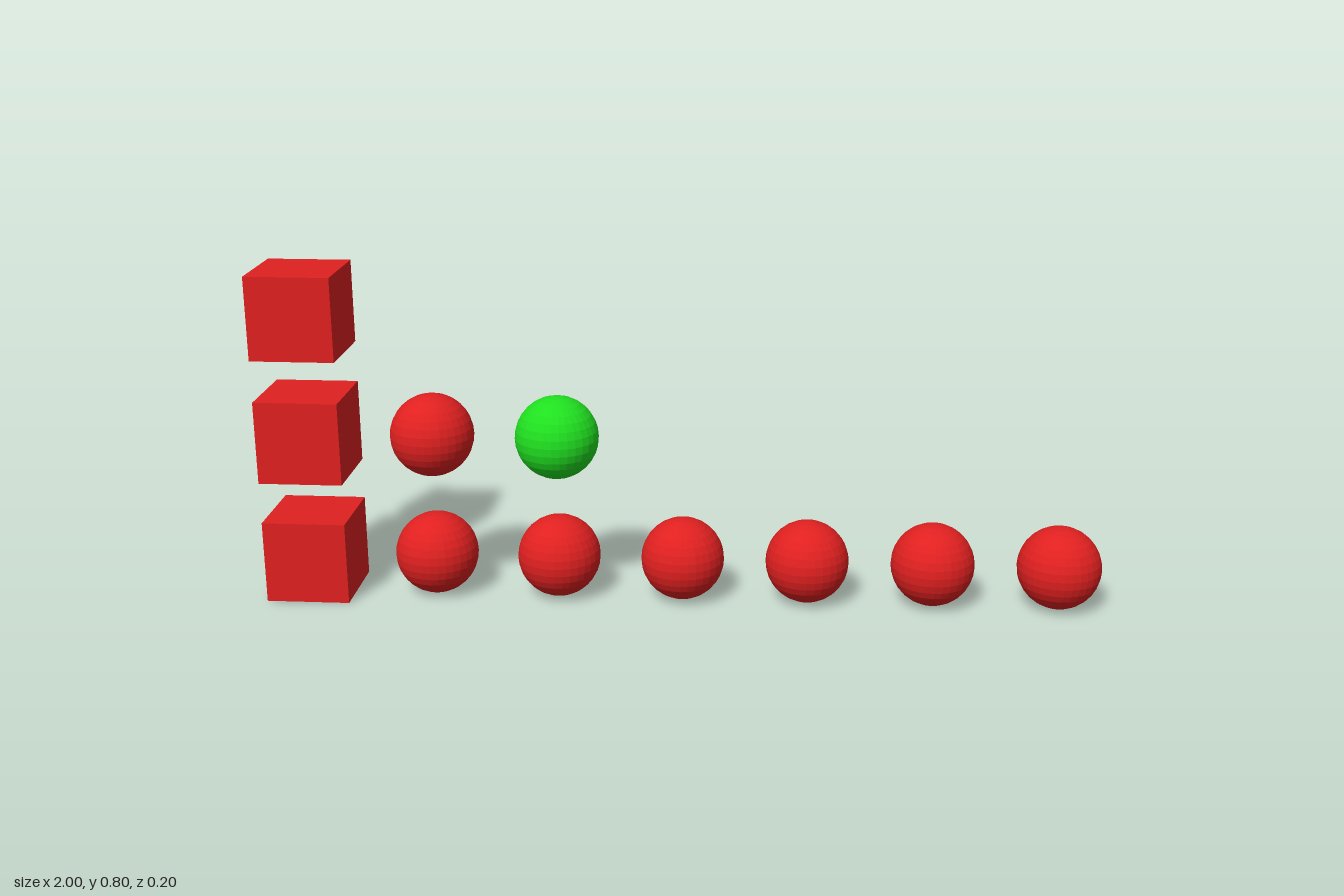
import * as THREE from 'three';

const SIZE = 0.2, Z = -0.01, STEP = 0.3;

export function createModel() {
  const model = new THREE.Group();
  model.name = 'counterDisplay';

  const red = new THREE.MeshStandardMaterial({ color: 0xe02020, flatShading: true });
  const green = new THREE.MeshStandardMaterial({ color: 0x20e020, flatShading: true });
  const cube = new THREE.BoxGeometry(SIZE, SIZE, SIZE);
  const ball = new THREE.SphereGeometry(SIZE / 2, 32, 16);

  const add = (name, geometry, material, column, row) => {
    const mesh = new THREE.Mesh(geometry, material);
    mesh.name = name;
    mesh.position.set(-0.9 + column * STEP, 0.1 + row * STEP, Z);
    model.add(mesh);
  };

  // Each row starts with a cube, followed by its balls, from the bottom up
  const rows = [
    [red, red, red, red, red, red],
    [red, green],
    [],
  ];
  rows.forEach((balls, row) => {
    add(`rowCube${row + 1}`, cube, red, 0, row);
    balls.forEach((material, i) => add(`row${row + 1}Ball${i + 1}`, ball, material, i + 1, row));
  });

  return model;
}
